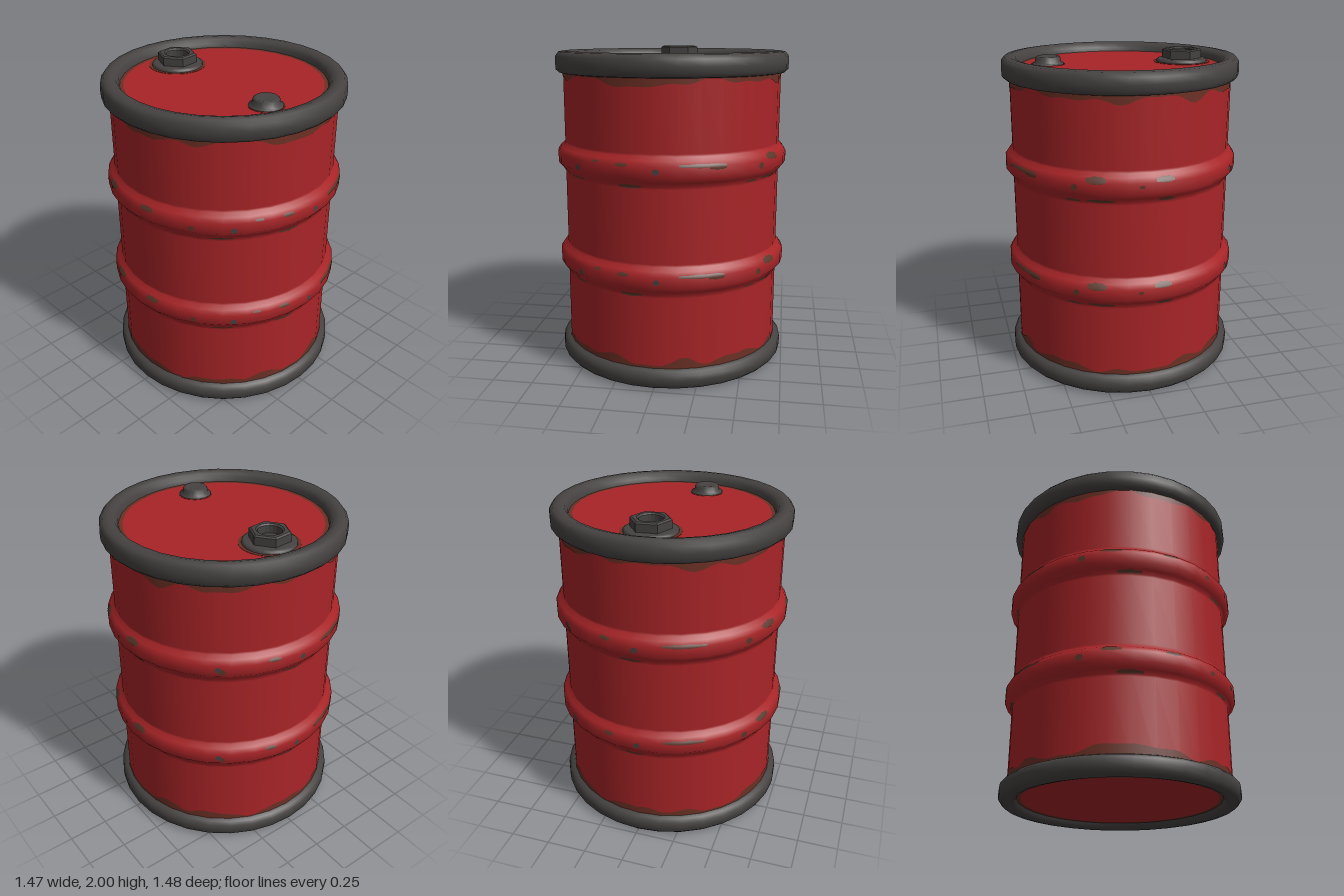
import * as THREE from 'three';

const SEG = 32;
const WALL = 0.69, RIB = 0.735;

const material = (name, color) => {
  const m = new THREE.MeshStandardMaterial({ color });
  m.name = name;
  return m;
};

// Outer wall outline [radius, height] with two rolled ribs
const rib = (y) => [
  [WALL, y - 0.11], [WALL, y - 0.095], [0.705, y - 0.07], [RIB, y - 0.035],
  [RIB, y + 0.03], [0.715, y + 0.06], [WALL, y + 0.08], [WALL, y + 0.095],
];
const WALL_OUTLINE = [[WALL, 0.06], ...rib(0.68), ...rib(1.33), [WALL, 1.92]];

function wallRadius(y) {
  for (let i = 1; i < WALL_OUTLINE.length; i++) {
    const [r0, y0] = WALL_OUTLINE[i - 1], [r1, y1] = WALL_OUTLINE[i];
    if (y <= y1) return r0 + (r1 - r0) * Math.max(0, (y - y0) / (y1 - y0));
  }
  return WALL;
}

// Keeps thin paint patches on the facets of the wall
function facetScale(a) {
  const step = (Math.PI * 2) / SEG;
  const local = a - Math.floor(a / step) * step - step / 2;
  return Math.cos(step / 2) / Math.cos(local);
}

// Thin curved patch between two heights, given as functions of u from 0 to 1
function wallPatch(a0, a1, low, high, columns, rows = 4) {
  const pos = [], normal = [], index = [];
  for (let i = 0; i <= columns; i++) {
    const u = i / columns, a = a0 + (a1 - a0) * u;
    for (let j = 0; j <= rows; j++) {
      const y = low(u) + (high(u) - low(u)) * (j / rows);
      const r = wallRadius(y) * facetScale(a) + 0.003;
      const slope = (wallRadius(y + 0.01) - wallRadius(y - 0.01)) / 0.02;
      const n = new THREE.Vector3(Math.sin(a), -slope, Math.cos(a)).normalize();
      pos.push(r * Math.sin(a), y, r * Math.cos(a));
      normal.push(n.x, n.y, n.z);
      if (i < columns && j < rows) {
        const k = i * (rows + 1) + j, m = k + rows + 1;
        index.push(k, m, m + 1, k, m + 1, k + 1);
      }
    }
  }
  const g = new THREE.BufferGeometry();
  g.setAttribute('position', new THREE.Float32BufferAttribute(pos, 3));
  g.setAttribute('normal', new THREE.Float32BufferAttribute(normal, 3));
  g.setIndex(index);
  return g;
}

const lathe = (points, segments = SEG) =>
  new THREE.LatheGeometry(points.map(([r, y]) => new THREE.Vector2(r, y)), segments);

export function createModel() {
  const red = material('red paint', 0xa82427);
  const steel = material('dark steel', 0x454241);
  const rust = material('rust', 0x6b3024);
  const chipBrown = material('bare brown metal', 0x5a3528);

  const model = new THREE.Group();
  model.name = 'barrel';
  const add = (name, geometry, mat, parent = model) => {
    const mesh = new THREE.Mesh(geometry, mat);
    mesh.name = name;
    parent.add(mesh);
    return mesh;
  };

  add('wall', lathe(WALL_OUTLINE), red);

  // Rolled rims, open towards the recessed end plates
  add('topRim', lathe([
    [WALL, 1.845], [0.715, 1.85], [0.735, 1.87], [0.737, 1.91], [0.735, 1.95],
    [0.715, 1.975], [0.68, 1.98], [0.645, 1.97], [0.628, 1.945], [0.622, 1.91],
  ]), steel);
  add('bottomRim', lathe([
    [0.622, 0.06], [0.63, 0.03], [0.65, 0.008], [0.68, 0], [0.715, 0.008],
    [0.735, 0.03], [0.737, 0.065], [0.735, 0.095], [0.715, 0.115], [WALL, 0.125],
  ]), steel);

  // End plates with a rusty border
  for (const [name, y, turn] of [['lid', 1.92, -1], ['base', 0.04, 1]]) {
    const plate = add(name, new THREE.CircleGeometry(0.602, SEG), red);
    const border = add(name + 'RustBorder', new THREE.RingGeometry(0.6, 0.64, SEG), rust);
    for (const m of [plate, border]) {
      m.rotation.x = turn * Math.PI / 2;
      m.position.y = y;
    }
  }

  // Uneven rust creeping from the rims onto the wall
  const wave = (u, shift) => {
    const a = u * Math.PI * 2 + shift;
    const s = Math.sin(a * 5) + Math.sin(a * 11 + 1.3) + 0.7 * Math.sin(a * 19 + 0.4);
    return 0.012 * s + 0.03 * Math.pow(Math.max(0, Math.sin(a * 3 + 0.8)), 12);
  };
  add('topRust', wallPatch(0, Math.PI * 2, (u) => 1.822 - wave(u, 0.4), () => 1.86, 128, 1), rust);
  add('bottomRust', wallPatch(0, Math.PI * 2, () => 0.11, (u) => 0.155 + wave(u, 2.1), 128, 1), rust);

  // Worn chips on the ribs: [angle, angular width, height from rib centre, height]
  const chips = [
    [0.4, 0.38, 0.034, 0.022], [0.52, 0.14, 0.024, 0.03], [-0.25, 0.1, 0.034, 0.022],
    [-0.5, 0.07, 0.04, 0.014], [0.95, 0.05, 0, 0.04], [1.12, 0.16, 0.045, 0.04],
    [1.67, 0.15, 0.045, 0.034], [1.48, 0.04, 0.01, 0.02], [2.48, 0.05, -0.01, 0.035],
    [3.55, 0.35, 0.034, 0.022], [2.9, 0.1, 0.036, 0.022], [4.1, 0.06, 0, 0.04],
    [4.35, 0.17, 0.045, 0.034], [4.85, 0.13, 0.04, 0.028], [5.25, 0.05, -0.01, 0.03],
    [-0.2, 0.2, -0.095, 0.022], [-0.8, 0.2, -0.09, 0.016], [0.9, 0.14, -0.09, 0.016],
    [1.15, 0.24, -0.085, 0.02], [1.7, 0.14, -0.08, 0.025], [3.1, 0.2, -0.09, 0.02],
    [4.5, 0.22, -0.085, 0.022],
  ];
  const dots = [[0.03, 0], [-0.7, -0.015], [3.16, 0], [2.45, 0.005]];
  for (const y of [0.68, 1.33]) {
    for (const [a, w, dy, h] of chips) {
      const half = (u) => h * (0.25 + 0.25 * Math.sin(Math.PI * u) + 0.06 * Math.sin(u * 17 + a));
      add('ribChip', wallPatch(a - w / 2, a + w / 2,
        (u) => y + dy - half(u), (u) => y + dy + half(u), 10), chipBrown);
    }
    for (const [a, dy] of dots) {
      const half = (u) => 0.006 + 0.012 * Math.sin(Math.PI * u);
      add('ribDent', wallPatch(a - 0.025, a + 0.025,
        (u) => y + dy - half(u), (u) => y + dy + half(u), 6), steel);
    }
  }

  // Large bung: rust stain, flange and hollow hexagonal nut
  const largeBung = new THREE.Group();
  largeBung.name = 'largeBung';
  largeBung.position.set(-0.01, 1.92, -0.41);
  model.add(largeBung);
  add('bungRust', new THREE.CylinderGeometry(0.178, 0.178, 0.004, 24), rust, largeBung);
  add('bungFlange', lathe([[0.16, 0], [0.158, 0.014], [0.145, 0.022], [0, 0.03]], 20), steel, largeBung);
  const hexagon = new THREE.Shape();
  for (let i = 0; i < 6; i++) {
    const a = i * Math.PI / 3 + 0.1;
    hexagon[i ? 'lineTo' : 'moveTo'](0.112 * Math.cos(a), 0.112 * Math.sin(a));
  }
  hexagon.closePath();
  const hole = new THREE.Path();
  hole.absarc(0, 0, 0.08, 0, Math.PI * 2, true);
  hexagon.holes.push(hole);
  const nut = add('hexNut', new THREE.ExtrudeGeometry(hexagon, {
    depth: 0.054, bevelEnabled: true, bevelSize: 0.01, bevelThickness: 0.008,
    bevelSegments: 1, curveSegments: 10,
  }), steel, largeBung);
  nut.rotation.x = -Math.PI / 2;
  nut.position.y = 0.018;

  // Small domed bung
  const smallBung = new THREE.Group();
  smallBung.name = 'smallBung';
  smallBung.position.set(-0.1, 1.92, 0.435);
  model.add(smallBung);
  add('smallBungRust', new THREE.CylinderGeometry(0.106, 0.106, 0.004, 20), rust, smallBung);
  add('smallBungCap', lathe([
    [0.1, 0], [0.098, 0.008], [0.082, 0.014], [0.078, 0.04], [0.068, 0.05], [0.05, 0.048], [0, 0.045],
  ], 16), steel, smallBung);

  return model;
}
